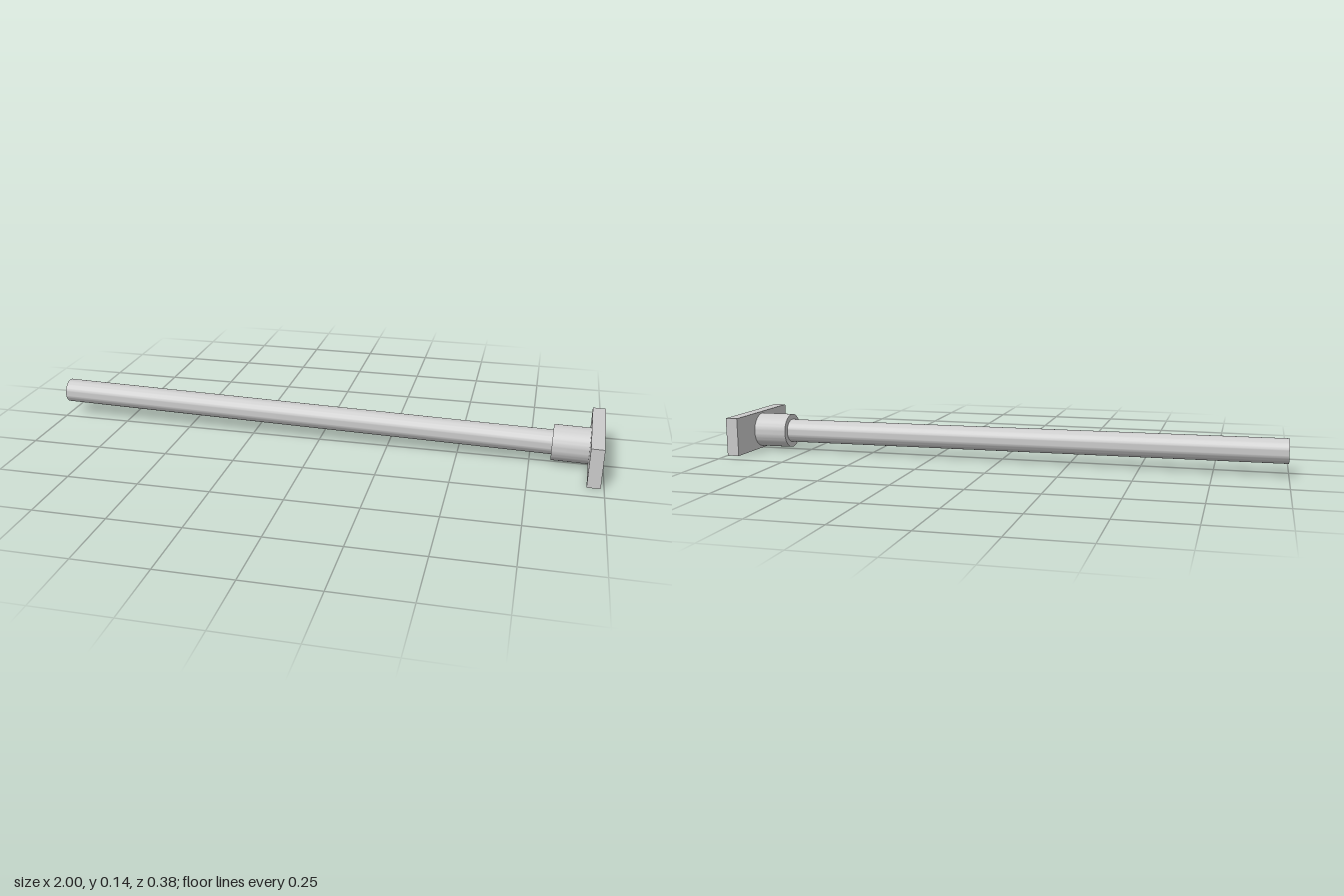
import * as THREE from 'three';
import { toCreasedNormals } from 'three/addons/utils/BufferGeometryUtils.js';

const material = new THREE.MeshStandardMaterial({ color: 0xcccccc });

// Turned part whose axis runs from the plate towards -x; profile points are [radius, distance]
function turned(name, profile) {
  const points = profile.map(([r, d]) => new THREE.Vector2(r, d));
  const geometry = new THREE.LatheGeometry(points, 64).rotateZ(Math.PI / 2);
  const mesh = new THREE.Mesh(toCreasedNormals(geometry, 0.6), material);
  mesh.name = name;
  return mesh;
}

export function createModel() {
  const model = new THREE.Group();
  model.name = 'pipeWithEndPlate';

  const thickness = 0.045, face = thickness / 2;
  const collarEnd = 0.148, pipeEnd = 1.971;
  const pipeRadius = 0.0427, boreRadius = 0.033, collarRadius = 0.0625;

  // Flat rectangular end plate
  const plate = new THREE.Mesh(new THREE.BoxGeometry(thickness, 0.139, 0.374), material);
  plate.name = 'endPlate';

  // Short collar fixed to the plate
  const collar = turned('collar', [
    [collarRadius, face], [collarRadius, collarEnd], [pipeRadius - 0.002, collarEnd],
  ]);

  // Long hollow pipe, open at its far end
  const pipe = turned('pipe', [
    [pipeRadius, face], [pipeRadius, pipeEnd], [boreRadius, pipeEnd],
    [boreRadius, face + 0.001], [0, face + 0.001],
  ]);

  // The whole assembly lies slightly askew
  const assembly = new THREE.Group();
  assembly.name = 'assembly';
  assembly.add(plate, collar, pipe);
  assembly.position.set(0.972, 0.0697, 0);
  assembly.rotation.set(0, -0.0265, -0.0085);
  model.add(assembly);
  return model;
}
